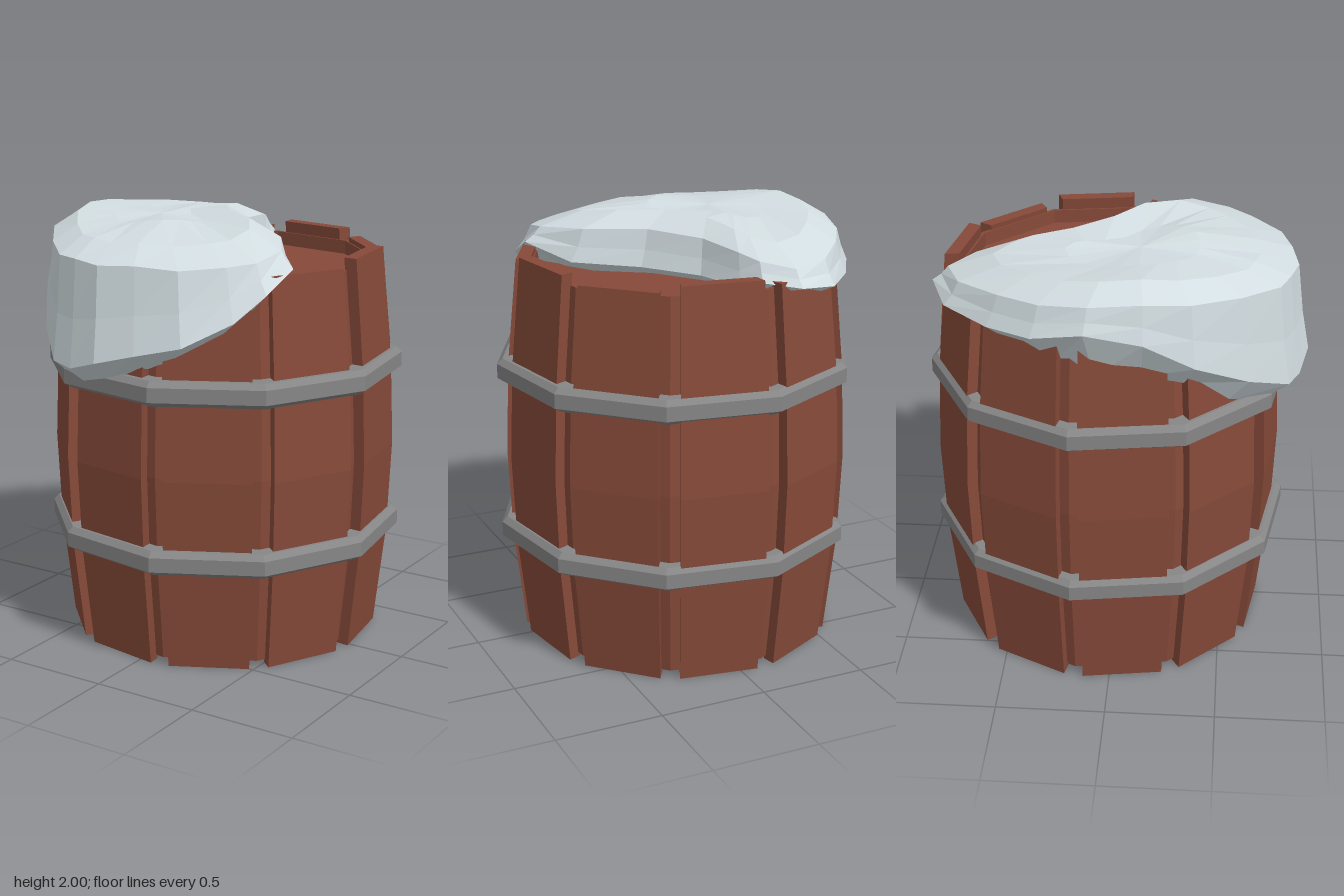
import * as THREE from 'three';

const SIDES = 10;
const rad = THREE.MathUtils.degToRad;

// Flat-shaded skin over equal-length rings listed bottom to top, with optional fan caps
function loft(rings, capBottom, capTop) {
  const pos = [];
  const tri = (a, b, c) => pos.push(...a, ...b, ...c);
  const n = rings[0].length;
  const centre = (ring) => [0, 1, 2].map((k) => ring.reduce((s, p) => s + p[k], 0) / n);
  for (let i = 0; i < n; i++) {
    const j = (i + 1) % n;
    for (let r = 0; r < rings.length - 1; r++) {
      const lo = rings[r], hi = rings[r + 1];
      tri(lo[j], lo[i], hi[i]);
      tri(lo[j], hi[i], hi[j]);
    }
    const first = rings[0], last = rings[rings.length - 1];
    if (capBottom) tri(centre(first), first[i], first[j]);
    if (capTop) tri(centre(last), last[j], last[i]);
  }
  const g = new THREE.BufferGeometry();
  g.setAttribute('position', new THREE.Float32BufferAttribute(pos, 3));
  g.computeVertexNormals();
  return g;
}

// Ten-sided lathe whose corners line up with the gaps between the staves
function facetedLathe(points) {
  const pts = points.map(([r, y]) => new THREE.Vector2(r, y));
  const g = new THREE.LatheGeometry(pts, SIDES, rad(9)).toNonIndexed();
  g.computeVertexNormals();
  return g;
}

export function createModel() {
  const wood = new THREE.MeshStandardMaterial({ color: 0x864a39 });
  wood.name = 'brown wood';
  const iron = new THREE.MeshStandardMaterial({ color: 0x868686 });
  iron.name = 'grey iron';
  const snow = new THREE.MeshStandardMaterial({ color: 0xd2dde1 });
  snow.name = 'pale snow';

  const model = new THREE.Group();
  model.name = 'snowyBarrel';
  const add = (parent, name, geometry, material) => {
    const mesh = new THREE.Mesh(geometry, material);
    mesh.name = name;
    parent.add(mesh);
    return mesh;
  };

  // Wooden cask, set slightly off the centre of its hoops
  const cask = new THREE.Group();
  cask.name = 'cask';
  cask.position.set(-0.008, 0, -0.052);
  model.add(cask);

  // Bulging barrel profile: radius, height
  const bulge = [[0.738, 0], [0.79, 0.47], [0.808, 0.9], [0.79, 1.33], [0.742, 1.81]];

  // Inner body with recessed lid and base, seen in the gaps between staves
  add(cask, 'innerBody', facetedLathe([
    [0, 0.09], [0.685, 0.09], [0.685, 0.02], [0.698, 0.02],
    ...bulge.slice(1, 4).map(([r, y]) => [r - 0.042, y]),
    [0.702, 1.785], [0.685, 1.785], [0.685, 1.72], [0, 1.72],
  ]), wood);

  // Staves, every second one slightly taller
  const half = rad(14.5);
  for (let i = 0; i < SIDES; i++) {
    const a = rad(-9 + 36 * i);
    const rings = bulge.map(([r, y], k) => {
      const h = k === bulge.length - 1 && i % 2 === 0 ? 1.84 : y;
      return [[r, -half], [r, half], [r - 0.065, half], [r - 0.065, -half]]
        .map(([q, d]) => [q * Math.cos(a + d), h, q * Math.sin(a + d)]);
    });
    add(cask, `stave${i + 1}`, loft(rings, true, true), wood);
  }

  // Bevelled hoops
  const hoops = new THREE.Group();
  hoops.name = 'hoops';
  hoops.position.z = -0.04;
  model.add(hoops);
  const hoop = facetedLathe([
    [0.7, -0.06], [0.79, -0.06], [0.838, -0.032], [0.838, 0.035], [0.812, 0.06], [0.7, 0.06],
  ]);
  add(hoops, 'lowerHoop', hoop, iron).position.y = 0.52;
  add(hoops, 'upperHoop', hoop, iron).position.y = 1.3;

  // Snow cap outline: x, z, lower edge height, widest height, shoulder height
  const outline = [
    [-0.25, -0.82, 1.73, 1.79, 1.86],
    [-0.12, -0.70, 1.70, 1.80, 1.88],
    [-0.07, -0.58, 1.70, 1.76, 1.90],
    [0.00, -0.33, 1.70, 1.76, 1.92],
    [0.18, -0.08, 1.70, 1.76, 1.93],
    [0.45, 0.10, 1.70, 1.77, 1.92],
    [0.59, 0.33, 1.70, 1.83, 1.90],
    [0.57, 0.52, 1.60, 1.74, 1.87],
    [0.48, 0.64, 1.52, 1.63, 1.86],
    [0.31, 0.79, 1.44, 1.53, 1.85],
    [0.10, 0.84, 1.37, 1.48, 1.86],
    [-0.09, 0.87, 1.31, 1.43, 1.85],
    [-0.25, 0.83, 1.27, 1.38, 1.86],
    [-0.38, 0.78, 1.29, 1.39, 1.86],
    [-0.56, 0.60, 1.36, 1.49, 1.88],
    [-0.73, 0.37, 1.52, 1.63, 1.91],
    [-0.79, 0.15, 1.57, 1.76, 1.93],
    [-0.81, -0.10, 1.57, 1.81, 1.92],
    [-0.75, -0.33, 1.60, 1.76, 1.90],
    [-0.63, -0.53, 1.64, 1.75, 1.89],
    [-0.45, -0.74, 1.68, 1.76, 1.87],
  ];
  // Each ring shrinks the outline towards the middle of the cap
  const ring = (scale, height) => outline.map((p, i) => [
    -0.3 + (p[0] + 0.3) * scale, height(p, i), 0.1 + (p[1] - 0.1) * scale,
  ]);
  add(model, 'snowCap', loft([
    ring(0.8, (p) => p[2]),
    ring(1, (p) => p[3]),
    ring(0.955, (p) => p[3] + (p[4] - p[3]) * 0.45),
    ring(0.92, (p) => p[4]),
    ring(0.7, (p) => p[4] + 0.07),
    ring(0.35, (p, i) => 1.975 + 0.012 * Math.sin(i * 0.9)),
  ], false, true), snow);

  return model;
}
